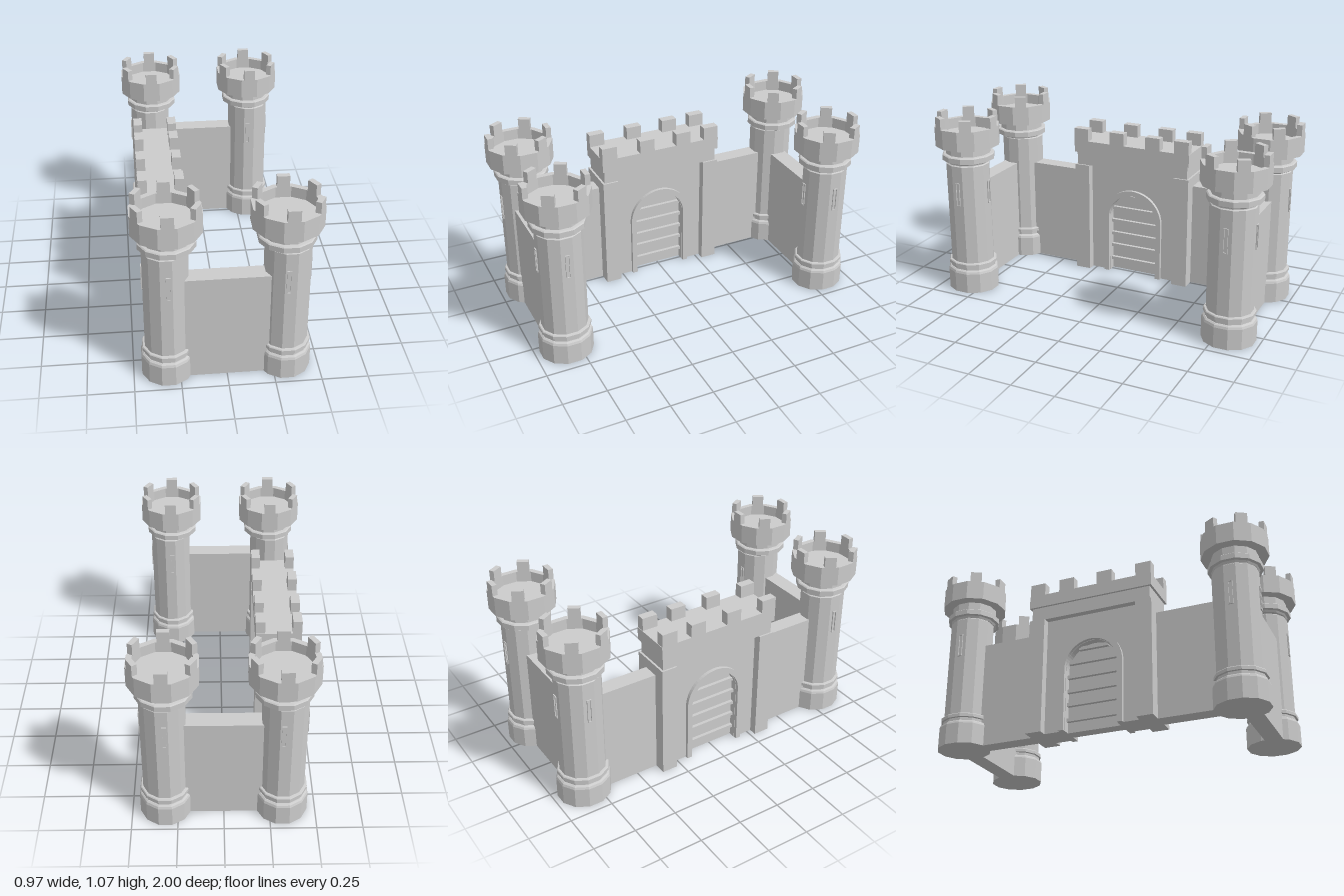
import * as THREE from 'three';

const SIDES = 12;
const K = 1 / Math.cos(Math.PI / SIDES); // apothem to corner radius
const material = new THREE.MeshStandardMaterial({ color: 0xcccccc, flatShading: true });

function add(parent, name, geometry, x = 0, y = 0, z = 0) {
  const mesh = new THREE.Mesh(geometry, material);
  mesh.name = name;
  mesh.position.set(x, y, z);
  parent.add(mesh);
  return mesh;
}

// Box given by its lower and upper limits on each axis
function block(parent, name, x0, x1, y0, y1, z0, z1) {
  return add(parent, name, new THREE.BoxGeometry(x1 - x0, y1 - y0, z1 - z0),
    (x0 + x1) / 2, (y0 + y1) / 2, (z0 + z1) / 2);
}

// Twelve-sided turned solid with flats facing the axes
function turned(profile) {
  const points = profile.map(([r, y]) => new THREE.Vector2(r * K, y));
  return new THREE.LatheGeometry(points, SIDES, Math.PI / SIDES);
}

// Flat shape extruded symmetrically about its own plane
function slab(shape, depth) {
  const g = new THREE.ExtrudeGeometry(shape, { depth, bevelEnabled: false, curveSegments: 16 });
  return g.translate(0, 0, -depth / 2);
}

function archPath(path, r, spring) {
  path.moveTo(r, 0);
  path.lineTo(r, spring);
  path.absarc(0, spring, r, 0, Math.PI, false);
  path.lineTo(-r, 0);
  return path;
}

function windowFrame() {
  const shape = new THREE.Shape([[-0.013, -0.07], [0.013, -0.07], [0.013, 0.07], [-0.013, 0.07]]
    .map(p => new THREE.Vector2(...p)));
  shape.holes.push(new THREE.Path([[-0.008, -0.065], [-0.008, 0.065], [0.008, 0.065], [0.008, -0.065]]
    .map(p => new THREE.Vector2(...p))));
  return slab(shape, 0.012);
}

function createTower(sx, sz) {
  const tower = new THREE.Group();
  tower.name = 'tower';
  tower.position.set(0.305 * sx, 0, 0.82 * sz);

  // Plinth, lower ring and shaft, set slightly outward
  const shaft = add(tower, 'shaft', turned([
    [0, 0], [0.148, 0], [0.148, 0.12], [0.143, 0.133], [0.134, 0.14], [0.13, 0.14], [0.13, 0.158],
    [0.141, 0.16], [0.141, 0.178], [0.137, 0.183], [0.126, 0.185], [0.126, 0.785], [0.119, 0.79],
    [0.119, 0.82], [0, 0.82],
  ]), 0.011 * sx);
  shaft.scale.x = 0.94;

  // Upper ring, neck and hollow head
  add(tower, 'head', turned([
    [0, 0.795], [0.124, 0.795], [0.13, 0.806], [0.148, 0.808], [0.148, 0.838], [0.142, 0.843],
    [0.127, 0.845], [0.127, 0.895], [0.182, 0.895], [0.182, 1.01], [0.152, 1.01],
    [0.152, 0.95], [0, 0.95],
  ]));

  for (let i = 0; i < 6; i++) {
    const a = i * Math.PI / 3;
    const merlon = add(tower, 'towerMerlon', new THREE.BoxGeometry(0.066, 0.065, 0.03),
      Math.sin(a) * 0.167, 1.0395, Math.cos(a) * 0.167);
    merlon.rotation.y = a;
  }

  // Arrow slits on the sides away from the walls
  for (const [dx, dz] of [[0, 1], [0, -1], [sx, 0]]) {
    if (sx < 0 && dz === -sz) continue;
    const slit = add(tower, 'arrowSlit', windowFrame(), dx * 0.13, 0.615, dz * 0.126);
    slit.rotation.y = Math.atan2(dx, dz);
  }
  return tower;
}

function createGatehouse() {
  const gate = new THREE.Group();
  gate.name = 'gatehouse';
  gate.position.x = -0.305;
  const spring = 0.362;

  // Panel with an arched opening
  const panel = new THREE.Shape();
  panel.moveTo(-0.285, 0);
  panel.lineTo(-0.155, 0);
  panel.lineTo(-0.155, spring);
  panel.absarc(0, spring, 0.155, Math.PI, 0, true);
  panel.lineTo(0.155, 0);
  panel.lineTo(0.285, 0);
  panel.lineTo(0.285, 0.685);
  panel.lineTo(-0.285, 0.685);
  add(gate, 'gatePanel', slab(panel, 0.15)).rotation.y = Math.PI / 2;

  // Raised arch surround
  const surround = archPath(new THREE.Shape(), 0.188, spring);
  surround.lineTo(-0.157, 0);
  surround.lineTo(-0.157, spring);
  surround.absarc(0, spring, 0.157, Math.PI, 0, true);
  surround.lineTo(0.157, 0);
  add(gate, 'archSurround', slab(surround, 0.19)).rotation.y = Math.PI / 2;

  // Door leaf and its horizontal bars
  const door = archPath(new THREE.Shape(), 0.156, spring);
  add(gate, 'door', slab(door, 0.07)).rotation.y = Math.PI / 2;
  for (const y of [0.07, 0.16, 0.24, 0.325, 0.41, 0.49]) {
    const rise = Math.max(0, y - spring);
    const half = Math.sqrt(0.156 ** 2 - rise ** 2);
    block(gate, 'doorBar', -0.055, 0.055, y - 0.01, y + 0.01, -half, half);
  }

  // Side piers, frieze and parapet
  for (const s of [-1, 1]) {
    block(gate, 'pier', -0.122, 0.122, 0, 0.685, s * 0.325 - 0.047, s * 0.325 + 0.047);
  }
  block(gate, 'frieze', -0.112, 0.112, 0.685, 0.765, -0.36, 0.36);
  block(gate, 'parapet', -0.125, 0.125, 0.765, 0.84, -0.373, 0.373);
  for (const z of [-0.324, -0.142, 0.09, 0.327]) {
    for (const s of [-1, 1]) {
      block(gate, 'gateMerlon', s * 0.1 - 0.025, s * 0.1 + 0.025, 0.84, 0.915, z - 0.046, z + 0.046);
    }
  }
  return gate;
}

export function createModel() {
  const castle = new THREE.Group();
  castle.name = 'castle';
  for (const sx of [-1, 1]) for (const sz of [-1, 1]) castle.add(createTower(sx, sz));
  castle.add(createGatehouse());

  // Curtain walls
  block(castle, 'frontWall', -0.25, 0.25, 0, 0.625, 0.8, 0.9);
  block(castle, 'backWall', -0.25, 0.25, 0, 0.625, -0.87, -0.77);
  for (const s of [-1, 1]) {
    block(castle, 'sideWall', -0.355, -0.26, 0, 0.625, s * 0.55 - 0.2, s * 0.55 + 0.2);
  }
  return castle;
}
